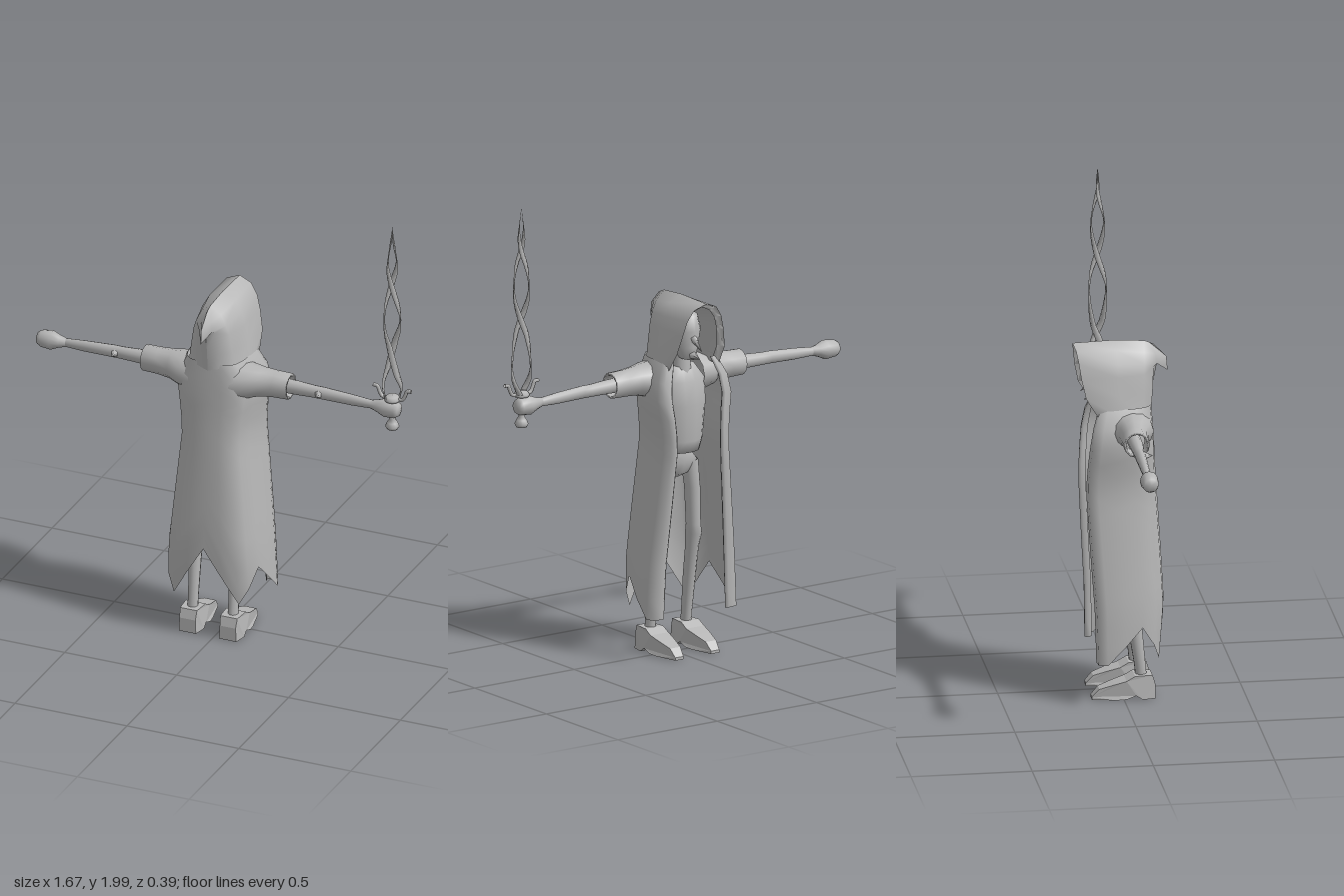
import * as THREE from 'three';

const grey = new THREE.MeshStandardMaterial({ color: 0xb6b6b6, side: THREE.DoubleSide });
grey.name = 'plain grey';

function part(name, geometry) {
  const mesh = new THREE.Mesh(geometry, grey);
  mesh.name = name;
  return mesh;
}

// Surface through rows of equally many [x, y, z] points
function loft(rows, closed = false) {
  const n = rows[0].length, index = [];
  for (let r = 0; r < rows.length - 1; r++) {
    for (let i = 0; i < (closed ? n : n - 1); i++) {
      const j = (i + 1) % n, a = r * n, b = a + n;
      index.push(a + i, b + i, a + j, a + j, b + i, b + j);
    }
  }
  const g = new THREE.BufferGeometry();
  g.setAttribute('position', new THREE.Float32BufferAttribute(rows.flat(2), 3));
  g.setIndex(index);
  g.computeVertexNormals();
  return g;
}

// Elliptical rings stacked upwards: [centreX, y, centreZ, radiusX, radiusZ]
function stack(list, sides = 12) {
  return loft(list.map(([x, y, z, rx, rz]) => Array.from({ length: sides }, (_, i) => {
    const a = (i / sides) * Math.PI * 2;
    return [x + rx * Math.cos(a), y, z + rz * Math.sin(a)];
  })), true);
}

// Elliptical rings strung sideways: [x, centreY, centreZ, radiusY, radiusZ]
function sideways(list, sides = 12) {
  return loft(list.map(([x, y, z, ry, rz]) => Array.from({ length: sides }, (_, i) => {
    const a = (i / sides) * Math.PI * 2;
    return [x, y + ry * Math.cos(a), z + rz * Math.sin(a)];
  })), true);
}

// Linear lookup in a table whose first column ascends
function lookup(table, v) {
  let i = 0;
  while (i < table.length - 2 && v > table[i + 1][0]) i++;
  const a = table[i], b = table[i + 1];
  const t = THREE.MathUtils.clamp((v - a[0]) / (b[0] - a[0]), 0, 1);
  return a.map((p, k) => p + (b[k] - p) * t);
}

// Turns rows for one half into rows running across both halves
const mirrorRow = row => [...row.slice(1).reverse().map(([x, y, z]) => [-x, y, z]), ...row];

function makeCloak() {
  // y, half width, back z, front z
  const shape = [[0.18, 0.22, 0.155, -0.12], [0.4, 0.207, 0.175, -0.125], [0.6, 0.185, 0.165, -0.138],
    [0.9, 0.152, 0.147, -0.155], [1.0, 0.16, 0.14, -0.15], [1.1, 0.178, 0.136, -0.14],
    [1.18, 0.165, 0.13, -0.125], [1.25, 0.128, 0.125, -0.1]];
  // sideways share, depth share, hem height, from centre back to the turned-in front edge
  const columns = [[0, 1, 0.42], [0.35, 0.98, 0.3], [0.66, 0.9, 0.18], [0.84, 0.68, 0.25], [0.95, 0.3, 0.33],
    [1, -0.2, 0.25], [1, -0.7, 0.18], [0.94, -0.97, 0.18], [0.76, -1, 0.18], [0.7, -0.93, 0.18], [0.76, -0.8, 0.18]];
  const rows = [];
  for (let r = 0; r <= 14; r++) {
    rows.push(mirrorRow(columns.map(([sx, sz, hem]) => {
      const y = hem + (1.25 - hem) * (r / 14);
      const [, w, back, front] = lookup(shape, y);
      return [sx * w, y, (back + front) / 2 + sz * (back - front) / 2];
    })));
  }
  return part('cloak', loft(rows));
}

function makeHood() {
  // Arches from neck to crown: inner lip, rim, middle, rear, centre back with a hooked peak
  const arches = [
    [[0.105, 1.22, -0.08], [0.105, 1.3, -0.12], [0.088, 1.38, -0.14], [0.07, 1.43, -0.15], [0.043, 1.465, -0.155], [0, 1.485, -0.16]],
    [[0.128, 1.21, -0.1], [0.12, 1.3, -0.155], [0.102, 1.38, -0.172], [0.085, 1.44, -0.18], [0.055, 1.485, -0.187], [0, 1.505, -0.195]],
    [[0.137, 1.21, 0], [0.118, 1.3, -0.02], [0.103, 1.38, -0.02], [0.088, 1.43, -0.02], [0.058, 1.482, -0.02], [0, 1.51, -0.02]],
    [[0.105, 1.21, 0.085], [0.092, 1.3, 0.088], [0.08, 1.38, 0.09], [0.066, 1.42, 0.095], [0.045, 1.465, 0.095], [0, 1.502, 0.1]],
    [[0.05, 1.21, 0.122], [0.045, 1.3, 0.13], [0.036, 1.4, 0.135], [0.03, 1.41, 0.15], [0.022, 1.45, 0.145], [0, 1.495, 0.12]],
    [[0, 1.21, 0.127], [0, 1.32, 0.137], [0, 1.41, 0.155], [0, 1.37, 0.198], [0, 1.43, 0.193], [0, 1.485, 0.14]],
  ];
  const half = loft(arches);
  const hood = new THREE.Group();
  hood.name = 'hood';
  for (const side of [1, -1]) {
    const m = part('hoodHalf', half);
    m.scale.x = side;
    hood.add(m);
  }
  return hood;
}

function makeHead() {
  const head = new THREE.Group();
  head.name = 'head';
  head.add(part('skull', stack([[0, 1.24, -0.06, 0, 0], [0, 1.25, -0.06, 0.03, 0.045], [0, 1.3, -0.04, 0.052, 0.065],
    [0, 1.37, -0.03, 0.068, 0.085], [0, 1.43, -0.03, 0.055, 0.07], [0, 1.47, -0.03, 0, 0]])));
  const nose = part('nose', new THREE.ConeGeometry(0.018, 0.085, 5));
  nose.position.set(0, 1.32, -0.13);
  nose.rotation.x = -2.2;
  const chin = part('chin', new THREE.ConeGeometry(0.025, 0.07, 6));
  chin.position.set(0, 1.265, -0.115);
  chin.rotation.x = -1.7;
  const neck = part('neck', new THREE.CylinderGeometry(0.035, 0.045, 0.14, 10));
  neck.position.set(0, 1.2, -0.02);
  head.add(nose, chin, neck);
  return head;
}

function makeArm() {
  const arm = new THREE.Group();
  arm.add(part('sleeve', sideways([[0.09, 1.155, 0.035, 0.085, 0.09], [0.15, 1.16, 0.035, 0.072, 0.085],
    [0.2, 1.163, 0.03, 0.062, 0.062], [0.26, 1.163, 0.026, 0.057, 0.054], [0.325, 1.163, 0.025, 0.055, 0.054],
    [0.325, 1.163, 0.025, 0.044, 0.043], [0.27, 1.163, 0.025, 0.042, 0.04]])));
  arm.add(part('forearm', sideways([[0.2, 1.163, 0.022, 0.034, 0.03], [0.35, 1.162, 0.022, 0.03, 0.027],
    [0.43, 1.16, 0.02, 0.027, 0.022], [0.47, 1.16, 0.02, 0.027, 0.022], [0.6, 1.155, 0.018, 0.024, 0.018],
    [0.69, 1.152, 0.016, 0.018, 0.015]])));
  arm.add(part('hand', sideways([[0.68, 1.152, 0.016, 0.018, 0.016], [0.71, 1.151, 0.015, 0.026, 0.026],
    [0.745, 1.15, 0.015, 0.041, 0.038], [0.79, 1.15, 0.015, 0.036, 0.034], [0.806, 1.15, 0.015, 0.027, 0.027],
    [0.806, 1.15, 0.015, 0, 0]])));
  const elbow = part('elbowSpur', new THREE.ConeGeometry(0.022, 0.045, 6));
  elbow.rotation.x = Math.PI / 2;
  elbow.position.set(0.455, 1.16, 0.05);
  arm.add(elbow);
  return arm;
}

function makeLeg() {
  const leg = new THREE.Group();
  leg.add(part('shinAndThigh', stack([[0.09, 0.06, 0.078, 0.022, 0.024], [0.09, 0.14, 0.07, 0.022, 0.024],
    [0.09, 0.3, 0.05, 0.025, 0.03], [0.088, 0.42, 0.03, 0.027, 0.03], [0.085, 0.48, 0.015, 0.034, 0.036],
    [0.082, 0.52, 0.012, 0.03, 0.032], [0.075, 0.68, 0.01, 0.032, 0.035], [0.06, 0.8, 0.01, 0.035, 0.04]], 10)));
  // Boot: side profile, drawn with toes along -z, narrowed to the toe and the ankle
  const profile = new THREE.Shape([[0.13, 0], [0.13, 0.06], [0.118, 0.1], [0.045, 0.1], [0.01, 0.08], [-0.04, 0.065],
    [-0.1, 0.045], [-0.13, 0.012], [-0.13, 0], [-0.03, 0], [0.01, 0.004], [0.05, 0.018], [0.075, 0]]
    .map(([z, y]) => new THREE.Vector2(-z, y)));
  const boot = new THREE.ExtrudeGeometry(profile, { depth: 0.1, bevelEnabled: false });
  boot.translate(0, 0, -0.05);
  boot.rotateY(Math.PI / 2);
  const p = boot.attributes.position;
  for (let i = 0; i < p.count; i++) {
    const z = p.getZ(i), y = p.getY(i);
    const taper = z < 0 ? 1 + z * 4.5 : 1 - Math.max(0, z - 0.1) * 8;
    p.setX(i, 0.09 + p.getX(i) * taper * (1 - y * 1.2));
  }
  boot.computeVertexNormals();
  leg.add(part('boot', boot));
  return leg;
}

function makeSword() {
  const sword = new THREE.Group();
  sword.name = 'sword';
  sword.position.set(0.777, 0, 0.02);
  // Two flat strands winding round each other: y, turn, radius, half strand width
  const twist = [[1.2, -0.25, 0.032, 0.012], [1.25, -0.05, 0.044, 0.015], [1.32, 0.2, 0.042, 0.014], [1.46, 0.5, 0.038, 0.013],
    [1.6, 1, 0.036, 0.012], [1.76, 1.5, 0.03, 0.011], [1.88, 2, 0.014, 0.008], [1.99, 2.4, 0, 0]];
  for (const start of [0, Math.PI]) {
    const rows = [];
    for (let i = 0; i <= 40; i++) {
      const y = 1.2 + 0.79 * i / 40, [, turn, r, w] = lookup(twist, y);
      const a = start + turn * Math.PI, c = Math.cos(a), s = Math.sin(a), d = w * 0.28;
      rows.push([[d, 0], [0, w], [-d, 0], [0, -w]].map(([u, v]) =>
        [(r - d + u) * c - v * s, y, (r - d + u) * s + v * c]));
    }
    sword.add(part('bladeStrand', loft(rows, true)));
  }
  // Pommel, grip and collar
  const hilt = [[0, 1.06], [0.022, 1.062], [0.029, 1.075], [0.022, 1.092], [0.013, 1.105], [0.013, 1.185],
    [0.03, 1.19], [0.034, 1.2], [0.025, 1.212], [0, 1.215]].map(([x, y]) => new THREE.Vector2(x, y));
  sword.add(part('hilt', new THREE.LatheGeometry(hilt, 14)));
  // Curled guard prongs
  for (const s of [1, -1]) {
    const path = new THREE.CatmullRomCurve3([[0.015, 1.2], [0.045, 1.203], [0.058, 1.225], [0.066, 1.245], [0.085, 1.247]]
      .map(([x, y]) => new THREE.Vector3(s * x, y, 0)));
    sword.add(part('guardProng', new THREE.TubeGeometry(path, 12, 0.008, 6)));
  }
  return sword;
}

export function createModel() {
  const model = new THREE.Group();
  const figure = new THREE.Group();
  figure.name = 'cloakedFigure';
  figure.position.x = -0.026;
  figure.add(makeCloak(), makeHood(), makeHead(), makeSword());
  // Ribcage and hips
  figure.add(part('torso', stack([[0, 0.86, 0, 0, 0], [0, 0.85, 0, 0.09, 0.075], [0, 0.9, -0.005, 0.1, 0.085],
    [0, 1.05, -0.005, 0.115, 0.09], [0, 1.15, 0, 0.115, 0.08], [0, 1.21, 0, 0.07, 0.05], [0, 1.22, 0, 0, 0]], 14)));
  figure.add(part('hips', stack([[0, 0.73, 0.01, 0, 0], [0, 0.75, 0.01, 0.05, 0.035], [0, 0.8, 0.01, 0.095, 0.05],
    [0, 0.83, 0.01, 0.07, 0.045], [0, 0.88, 0.005, 0.05, 0.04]])));
  for (const side of [1, -1]) {
    const arm = makeArm(), leg = makeLeg();
    arm.name = side > 0 ? 'leftArm' : 'rightArm';
    leg.name = side > 0 ? 'leftLeg' : 'rightLeg';
    arm.scale.x = leg.scale.x = side;
    figure.add(arm, leg);
  }
  model.add(figure);
  return model;
}
